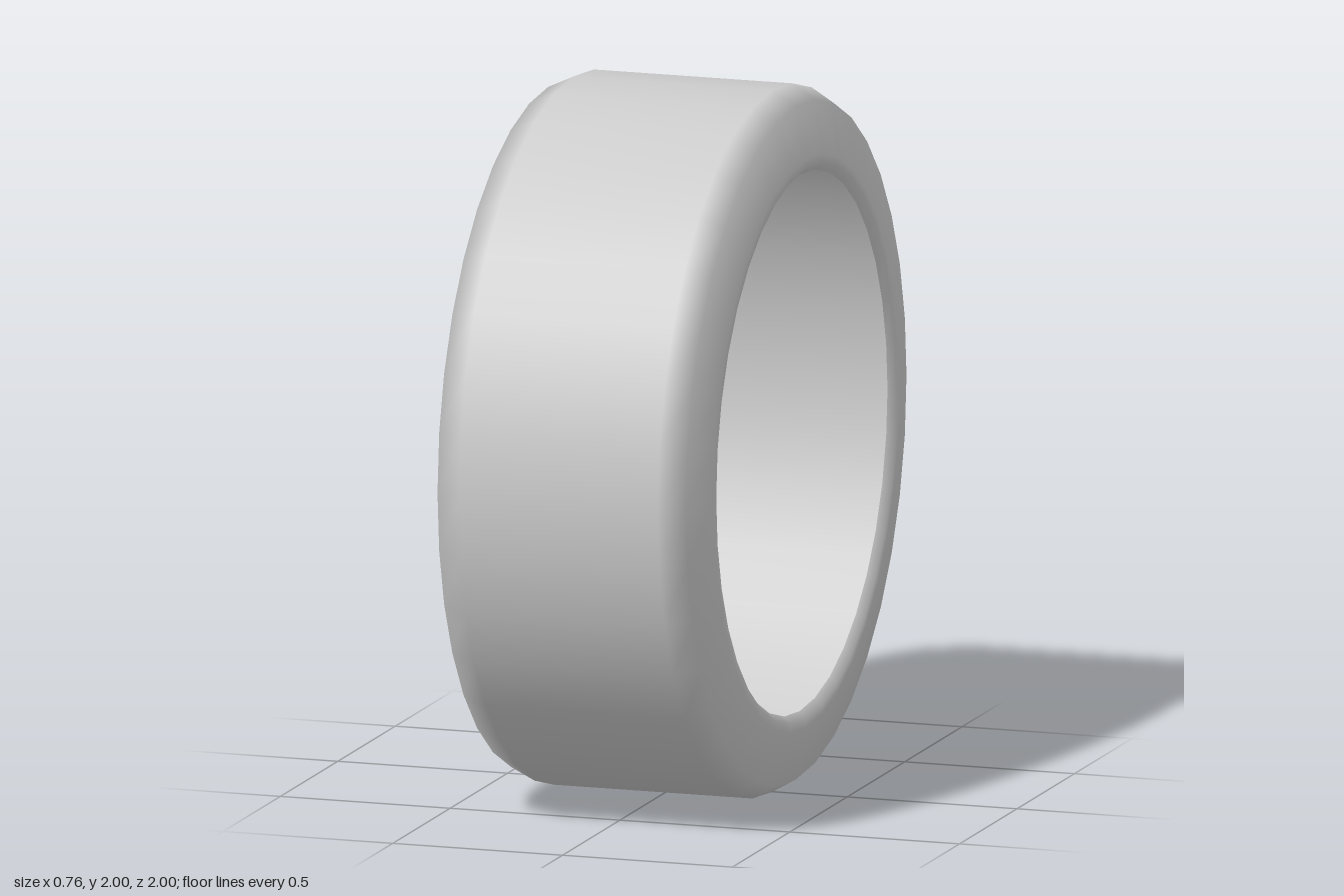
import * as THREE from 'three';

export function createModel() {
  const group = new THREE.Group();
  group.name = 'tire';

  // Open shell, thin surface seen from both sides
  const material = new THREE.MeshStandardMaterial({ color: 0xcccccc, side: THREE.DoubleSide });

  // Cross-section as [radius, position along the axle]
  const profile = [
    [0.765, -0.38], // plain bead edge
    [0.965, -0.38], // flat sidewall
    [1.0, -0.305],  // shoulder
    [1.0, 0.28],    // tread
    [0.96, 0.35],   // rounded shoulder
    [0.81, 0.38],   // sidewall
    [0.785, 0.38],
    [0.765, 0.36],  // turned-in lip
  ].map(([r, a]) => new THREE.Vector2(r, a));

  const geometry = new THREE.LatheGeometry(profile, 36);
  geometry.rotateZ(-Math.PI / 2); // axle along x

  const shell = new THREE.Mesh(geometry, material);
  shell.name = 'tireShell';
  shell.position.y = 1;
  group.add(shell);

  return group;
}
